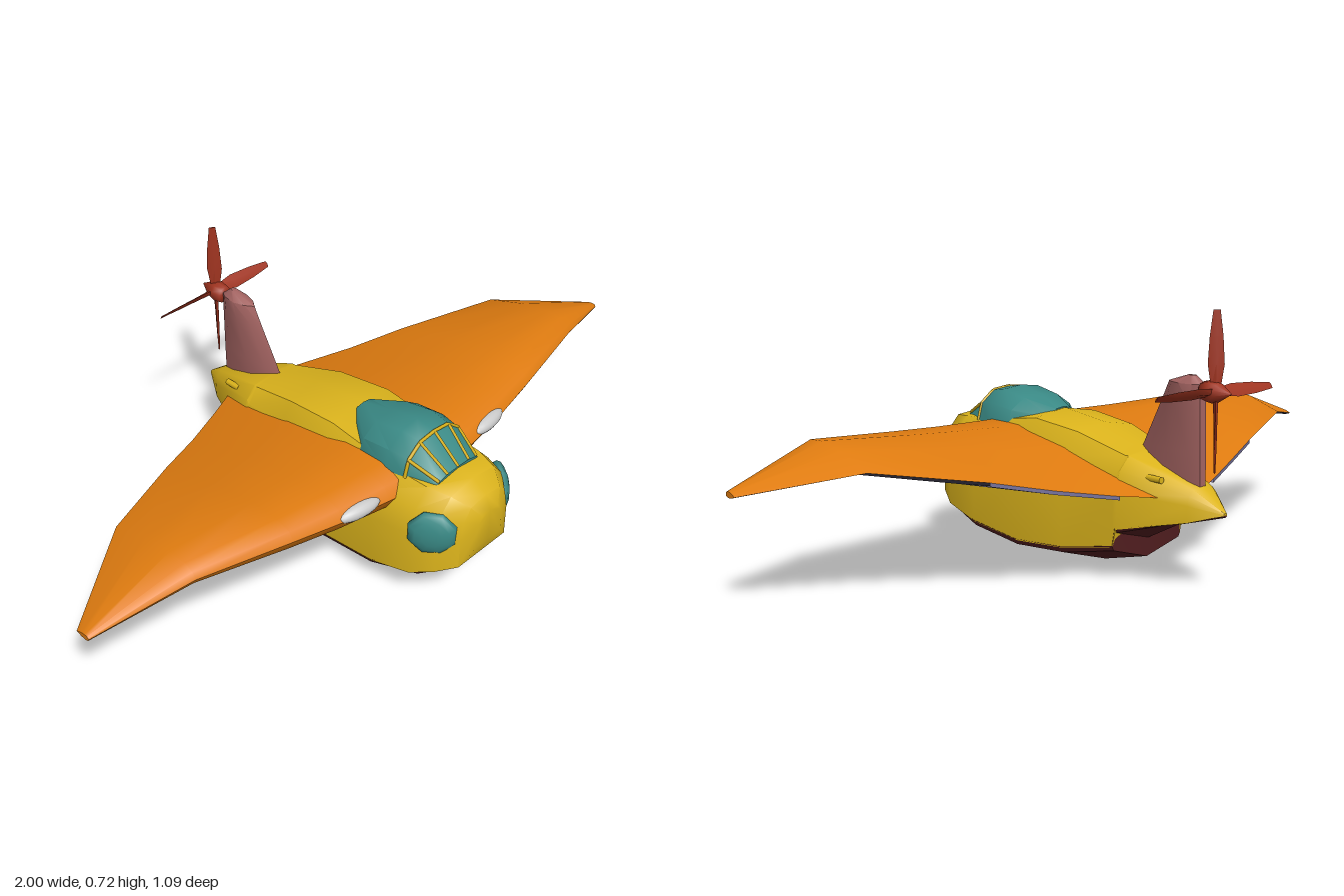
import * as THREE from 'three';
import { toCreasedNormals } from 'three/addons/utils/BufferGeometryUtils.js';

const paint = (color, side = THREE.FrontSide) => new THREE.MeshStandardMaterial({ color, side });
const yellow = paint(0xdcb41c), maroon = paint(0x562022), teal = paint(0x3a8a86);
const orange = paint(0xe07c10, THREE.DoubleSide), slate = paint(0x4a475c, THREE.DoubleSide);
const lilac = paint(0x75719a, THREE.DoubleSide), rose = paint(0xa46462), red = paint(0xa03420), grey = paint(0xcccccc);

// Skin a list of cross-sections; closed rings get end caps and face outward
function loft(rings, closed = true, crease = 0.7) {
  const n = rings[0].length, pos = rings.flat(2), idx = [];
  for (let i = 0; i < rings.length - 1; i++) {
    for (let j = 0; j < (closed ? n : n - 1); j++) {
      const a = i * n + j, b = i * n + (j + 1) % n;
      idx.push(a, b, a + n, b, b + n, a + n);
    }
  }
  if (closed) {
    const last = (rings.length - 1) * n;
    for (let j = 1; j < n - 1; j++) idx.push(0, j + 1, j, last, last + j, last + j + 1);
    // Signed volume tells whether the winding has to be turned round
    const p = idx.map(k => new THREE.Vector3().fromArray(pos, k * 3));
    let volume = 0;
    for (let k = 0; k < p.length; k += 3) volume += p[k].dot(p[k + 1].clone().cross(p[k + 2]));
    if (volume < 0) idx.reverse();
  }
  const g = new THREE.BufferGeometry();
  g.setAttribute('position', new THREE.Float32BufferAttribute(pos, 3));
  g.setIndex(idx);
  return toCreasedNormals(g, crease);
}

// Complete a half cross-section [x, y] with its mirror image, at depth z
function mirrored(half, z) {
  const other = half.slice().reverse().filter(p => p[0] > 0).map(([x, y]) => [-x, y]);
  return [...half, ...other].map(([x, y]) => [x, y, z]);
}

function add(parent, name, geometry, material) {
  const mesh = new THREE.Mesh(geometry, material);
  mesh.name = name;
  parent.add(mesh);
  return mesh;
}

function createFuselage(group) {
  // z, top, half width, chine height
  const body = [
    [0.548, 0.3, 0.05, 0.2], [0.53, 0.34, 0.095, 0.15], [0.485, 0.37, 0.14, 0.135], [0.42, 0.377, 0.168, 0.11],
    [0.29, 0.385, 0.178, 0.08], [0.09, 0.415, 0.175, 0.06], [-0.08, 0.395, 0.16, 0.07], [-0.245, 0.347, 0.124, 0.097],
    [-0.255, 0.345, 0.122, 0.145], [-0.45, 0.275, 0.055, 0.187], [-0.53, 0.218, 0.006, 0.212],
  ].map(([z, t, w, c]) => mirrored([[0, t], [0.62, 0.95], [0.88, 0.77], [1, 0.5], [1, 0], [0, c]].map(([x, f], i) =>
    (i === 0 || i === 5) ? [x, f] : [x * w, c + f * (t - c)]), z));
  add(group, 'fuselage', loft(body), yellow);

  // Stepped boat hull: z, half width, chine, keel
  const hull = [
    [0.52, 0.1, 0.145, 0.138], [0.44, 0.16, 0.117, 0.08], [0.29, 0.179, 0.081, 0.025], [0.1, 0.176, 0.061, 0.003],
    [-0.08, 0.161, 0.071, 0.012], [-0.245, 0.125, 0.098, 0.052], [-0.252, 0.123, 0.146, 0.105],
    [-0.36, 0.086, 0.168, 0.158], [-0.53, 0.006, 0.212, 0.207],
  ].map(([z, w, c, k]) => mirrored([[0, c + 0.002], [w, c + 0.002], [w * 0.95, c - 0.25 * (c - k)], [0, k]], z));
  add(group, 'hull', loft(hull, true, 0.5), maroon);
}

function createCanopy(group) {
  const half = (top, w) => [[1, 0], [0.88, 0.55], [0.5, 0.93], [0, 1]].map(([x, f]) => [x * w, 0.36 + f * (top - 0.36)]);
  const stations = [[0.435, 0.38, 0.085], [0.35, 0.45, 0.112], [0.29, 0.46, 0.122], [0.2, 0.442, 0.122], [0.1, 0.417, 0.05]];
  const rings = stations.map(([z, top, w]) => {
    const h = half(top, w);
    return [...h, ...h.slice(0, 3).reverse().map(([x, y]) => [-x, y])].map(([x, y]) => [x, y, z]);
  });
  add(group, 'canopy', loft(rings), teal);

  // Windscreen hoop and posts
  const bar = points => {
    const path = new THREE.CurvePath();
    const v = points.map(p => new THREE.Vector3(...p));
    for (let i = 1; i < v.length; i++) path.add(new THREE.LineCurve3(v[i - 1], v[i]));
    add(group, 'windscreenFrame', new THREE.TubeGeometry(path, 18, 0.005, 5), yellow);
  };
  bar(rings[1]);
  for (const k of [1, 2, 3, 4, 5]) bar([rings[0][k], rings[1][k]]);

  // Blister windows on the cheeks
  for (const s of [1, -1]) {
    const g = new THREE.SphereGeometry(1, 8, 8);
    g.scale(0.069, 0.028, 0.069).rotateX(Math.PI / 2).rotateZ(Math.PI / 8);
    const pane = add(group, 'cheekWindow', g, teal);
    pane.position.set(s * 0.134, 0.257, 0.468);
    pane.rotation.y = s * 0.94;
  }
}

function createWing() {
  const wing = new THREE.Group();
  // x, leading z, leading y, trailing z, trailing y, crest y, belly y
  const stations = [
    [0.05, 0.37, 0.31, -0.385, 0.24, 0.372, 0.218], [0.17, 0.352, 0.318, -0.325, 0.252, 0.372, 0.228],
    [0.32, 0.33, 0.325, -0.25, 0.275, 0.375, 0.25], [0.47, 0.304, 0.34, -0.18, 0.305, 0.381, 0.275],
    [0.74, 0.25, 0.362, -0.05, 0.345, 0.396, 0.326], [1, 0.167, 0.296, 0.122, 0.294, 0.304, 0.288],
  ];
  const skin = bulge => stations.map(s => {
    const [x, lz, ly, tz, ty] = s, extreme = s[bulge];
    return [[0, 0], [0.03, 0.5], [0.12, 0.85], [0.3, 1], [0.6, 0.8], [1, 0]].map(([u, f]) => {
      const chord = ly + (ty - ly) * u, crest = ly + (ty - ly) * 0.3;
      return [x, chord + f * (extreme - crest), lz + (tz - lz) * u];
    });
  });
  const top = skin(5), bottom = skin(6);
  add(wing, 'wingTop', loft(top, false, 1), orange);
  add(wing, 'wingLeadingEdge', loft(bottom.map(r => r.slice(0, 3)), false, 1), orange);
  add(wing, 'wingUnderside', loft(bottom.map(r => r.slice(2)), false, 1), slate);
  add(wing, 'wingTip', loft([top[5], bottom[5]], false), orange);

  // Flap panel slightly lowered under the trailing edge
  add(wing, 'flap', loft([1, 2, 3].map(i => {
    const [a, b] = [bottom[i][4], bottom[i][5]];
    return [[a[0], a[1] + 0.001, a[2]], [b[0], b[1] - 0.01, b[2]], [b[0], b[1], b[2]]];
  }), false), lilac);

  // Air intake in the leading edge
  const g = new THREE.SphereGeometry(1, 20, 10).scale(0.07, 0.022, 0.025);
  const intake = add(wing, 'airIntake', g, grey);
  intake.position.set(0.26, 0.328, 0.325);
  intake.rotation.y = 0.13;
  return wing;
}

function createTail(group) {
  // Lens-shaped fin: y, front z, back z, half thickness
  const fin = [
    [0.26, -0.18, -0.45, 0.025], [0.36, -0.232, -0.449, 0.026], [0.48, -0.297, -0.447, 0.027],
    [0.535, -0.325, -0.445, 0.028], [0.556, -0.395, -0.42, 0.008],
  ].map(([y, f, b, w]) => [[0, 0], [0.6, 0.2], [1, 0.5], [0.8, 0.85], [0.4, 1], [-0.4, 1], [-0.8, 0.85], [-1, 0.5], [-0.6, 0.2]]
    .map(([x, u]) => [x * w, y, f + (b - f) * u]));
  add(group, 'fin', loft(fin), rose);

  // Pusher propeller
  const propeller = new THREE.Group();
  propeller.name = 'propeller';
  propeller.position.set(0, 0.52, -0.49);
  const spinner = [[0, -0.04], [0.024, -0.04], [0.03, -0.012], [0.024, 0.012], [0, 0.055]].map(p => new THREE.Vector2(...p));
  add(propeller, 'spinner', new THREE.LatheGeometry(spinner, 10).rotateX(-Math.PI / 2), red);
  const blade = loft([[0.01, 0.012, 0.007, 0.7], [0.07, 0.021, 0.005, 0.75], [0.14, 0.017, 0.004, 0.7], [0.205, 0.009, 0.002, 0.65]]
    .map(([r, w, t, twist]) => [[w, 0], [0, t], [-w, 0], [0, -t]].map(([a, b]) =>
      [a * Math.cos(twist) - b * Math.sin(twist), r, a * Math.sin(twist) + b * Math.cos(twist)])));
  for (let i = 0; i < 4; i++) add(propeller, 'propellerBlade', blade, red).rotation.z = i * Math.PI / 2;
  group.add(propeller);

  // Small exhaust stubs beside the fin
  for (const s of [1, -1]) {
    const stub = add(group, 'exhaustStub', new THREE.CylinderGeometry(0.009, 0.009, 0.05, 8).rotateX(Math.PI / 2), yellow);
    stub.position.set(s * 0.073, 0.288, -0.35);
  }
}

export function createModel() {
  const model = new THREE.Group();
  model.name = 'flyingBoat';
  createFuselage(model);
  createCanopy(model);
  for (const s of [1, -1]) {
    const wing = createWing();
    wing.name = s > 0 ? 'leftWing' : 'rightWing';
    wing.scale.x = s;
    model.add(wing);
  }
  createTail(model);
  return model;
}
